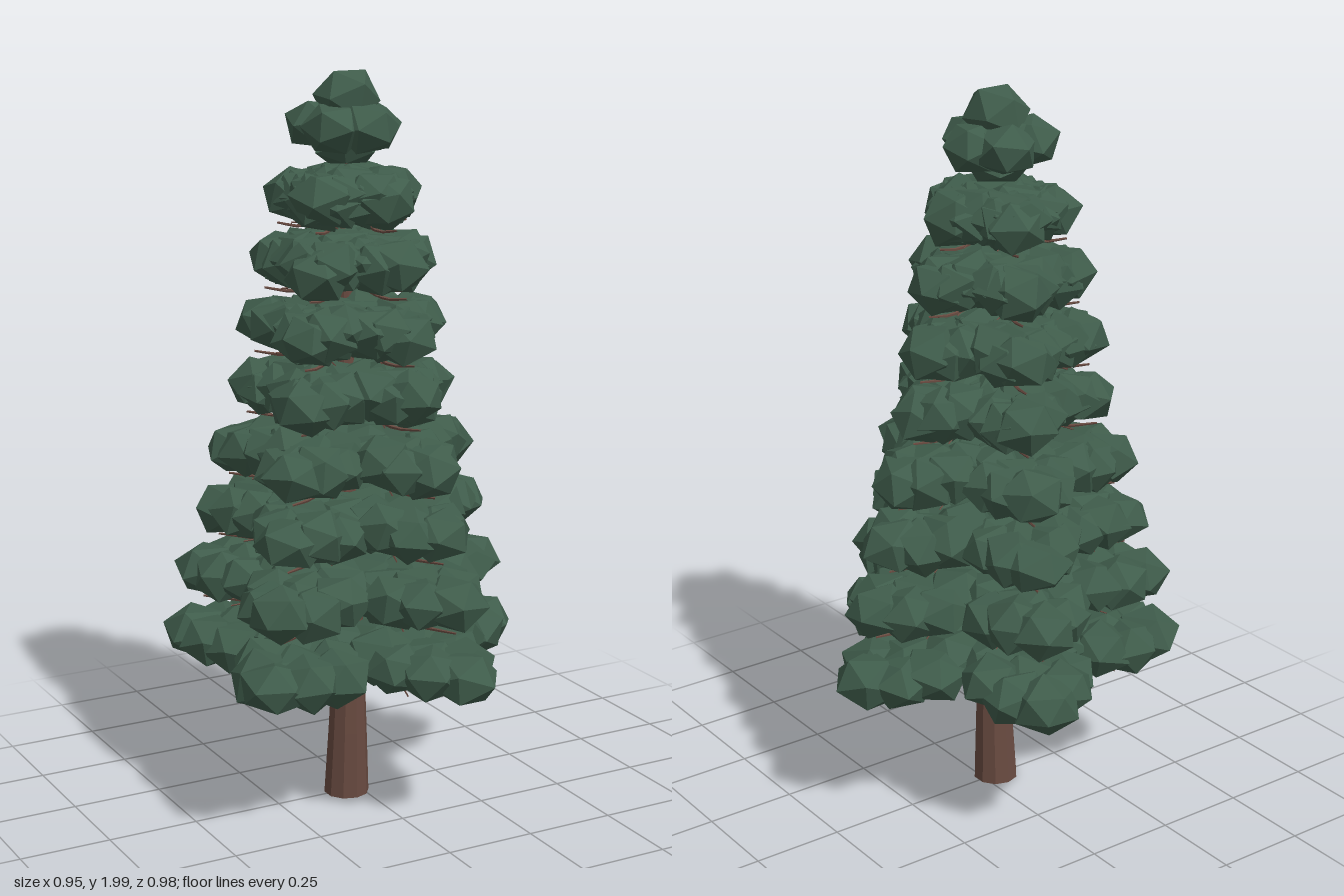
import * as THREE from 'three';
import { mergeGeometries, mergeVertices } from 'three/addons/utils/BufferGeometryUtils.js';

const AXIS_X = -0.037;

// Small seeded generator
let seed = 7;
const rand = () => {
  seed = (seed * 16807) % 2147483647;
  return seed / 2147483647;
};
const vary = (amount) => (rand() - 0.5) * 2 * amount;

// Faceted, flattened clump of needles: low dome above, shallower below
function clump(x, y, z, r, ry) {
  const raw = new THREE.IcosahedronGeometry(1.08, 0);
  raw.deleteAttribute('normal');
  raw.deleteAttribute('uv');
  const g = mergeVertices(raw, 1e-3);
  g.rotateX(0.5536 + vary(0.25)).rotateZ(vary(0.25)).rotateY(rand() * 6.28);
  const p = g.attributes.position;
  for (let i = 0; i < p.count; i++) {
    const k = 1 + vary(0.07);
    p.setXYZ(i, p.getX(i) * k * r, p.getY(i) * k * ry, p.getZ(i) * k * r);
  }
  g.translate(x, y, z);
  const flat = g.toNonIndexed();
  flat.computeVertexNormals();
  return flat;
}

// Tapered round limb along a curve
function limb(curve, segments, sides, r0, r1) {
  const g = new THREE.TubeGeometry(curve, segments, 1, sides, false);
  const p = g.attributes.position;
  const v = new THREE.Vector3();
  for (let i = 0; i <= segments; i++) {
    const c = curve.getPointAt(i / segments);
    const r = r0 + (r1 - r0) * (i / segments);
    for (let j = 0; j <= sides; j++) {
      const n = i * (sides + 1) + j;
      v.fromBufferAttribute(p, n).sub(c).multiplyScalar(r).add(c);
      p.setXYZ(n, v.x, v.y, v.z);
    }
  }
  return g;
}

// Foliage tiers: [centre height, outer radius]
const TIERS = [
  [0.445, 0.515], [0.632, 0.475], [0.812, 0.42], [0.985, 0.383], [1.158, 0.322],
  [1.325, 0.295], [1.498, 0.26], [1.672, 0.217],
];

// Clumps on one bough: [distance out, sideways offset, size]
const BOUGH = [
  [0.42, 0, 1], [0.36, 0.065, 0.95], [0.36, -0.065, 0.95], [0.28, 0.1, 1],
  [0.28, -0.1, 1], [0.29, 0, 1.1], [0.19, 0.07, 1.1], [0.19, -0.07, 1.1], [0.1, 0, 1.2],
];

export function createModel() {
  const tree = new THREE.Group();
  tree.name = 'pineTree';
  const foliageMat = new THREE.MeshStandardMaterial({ color: 0x3f5c4b, flatShading: true });
  foliageMat.name = 'needleGreen';
  const barkMat = new THREE.MeshStandardMaterial({ color: 0x684a40, flatShading: true });
  barkMat.name = 'barkBrown';
  const add = (name, geometry, material) => {
    const m = new THREE.Mesh(geometry, material);
    m.name = name;
    m.position.x = AXIS_X;
    tree.add(m);
  };

  // Trunk with a slight bow, flared at the foot
  const trunk = new THREE.CylinderGeometry(0.008, 0.053, 1.88, 10, 10);
  trunk.translate(0, 0.94, 0);
  const tp = trunk.attributes.position;
  for (let i = 0; i < tp.count; i++) {
    const y = tp.getY(i);
    const flare = 1 + 0.18 * Math.max(0, 1 - y / 0.45);
    tp.setX(i, tp.getX(i) * flare - 0.004 * Math.max(0, 1 - y));
    tp.setZ(i, tp.getZ(i) * flare + 0.004 + 0.01 * Math.sin(y * 3.5));
  }
  add('trunk', trunk, barkMat);

  // Tiers of five boughs, each with a drooping branch underneath
  TIERS.forEach(([y, radius], t) => {
    const clumps = [];
    const branches = [];
    const size = 0.086 + 0.006 * (radius - 0.2) / 0.315;
    const spread = (radius - size) / 0.42;
    const droop = t === 0 ? -0.072 : -0.088;
    for (let b = 0; b < 5; b++) {
      const a = (b * Math.PI * 2) / 5;
      const c = Math.cos(a), s = Math.sin(a);
      for (const [out, side, k] of BOUGH) {
        const o = out * spread, w = side * spread;
        clumps.push(clump(
          c * o - s * w, y + vary(0.01) + (0.3 - out) * 0.05, s * o + c * w,
          size * k, 0.07 + vary(0.005)));
      }
      const at = (r, h) => new THREE.Vector3(c * r, y + h, s * r);
      const reach = radius * 0.84;
      const curve = new THREE.CatmullRomCurve3([
        at(0, -0.025), at(reach * 0.3, -0.065), at(reach * 0.65, droop), at(reach, droop + 0.008),
      ]);
      branches.push(limb(curve, 8, 5, 0.012 - t * 0.0006, 0.003));
      // Side twigs fork off the branch
      for (const d of [-1, 1]) {
        const ta = a + d * 0.32;
        const end = new THREE.Vector3(
          Math.cos(ta) * reach * 0.8, y + droop + 0.015, Math.sin(ta) * reach * 0.8);
        const twig = new THREE.LineCurve3(at(reach * 0.45, -0.072), end);
        branches.push(limb(twig, 2, 4, 0.004, 0.002));
      }
    }
    add(`foliageTier${t + 1}`, mergeGeometries(clumps), foliageMat);
    add(`branchTier${t + 1}`, mergeGeometries(branches), barkMat);
  });

  // Crown: a small ring of clumps, a narrow neck and the tip
  const crown = [clump(0, 1.79, 0, 0.085, 0.045), clump(0, 1.85, 0, 0.11, 0.065)];
  for (let i = 0; i < 5; i++) {
    const a = (i * Math.PI * 2) / 5;
    crown.push(clump(Math.cos(a) * 0.075, 1.845 + vary(0.008), Math.sin(a) * 0.075, 0.082, 0.066));
  }
  add('crown', mergeGeometries(crown), foliageMat);
  add('treeTip', clump(0, 1.921, 0, 0.085, 0.076), foliageMat);
  return tree;
}
